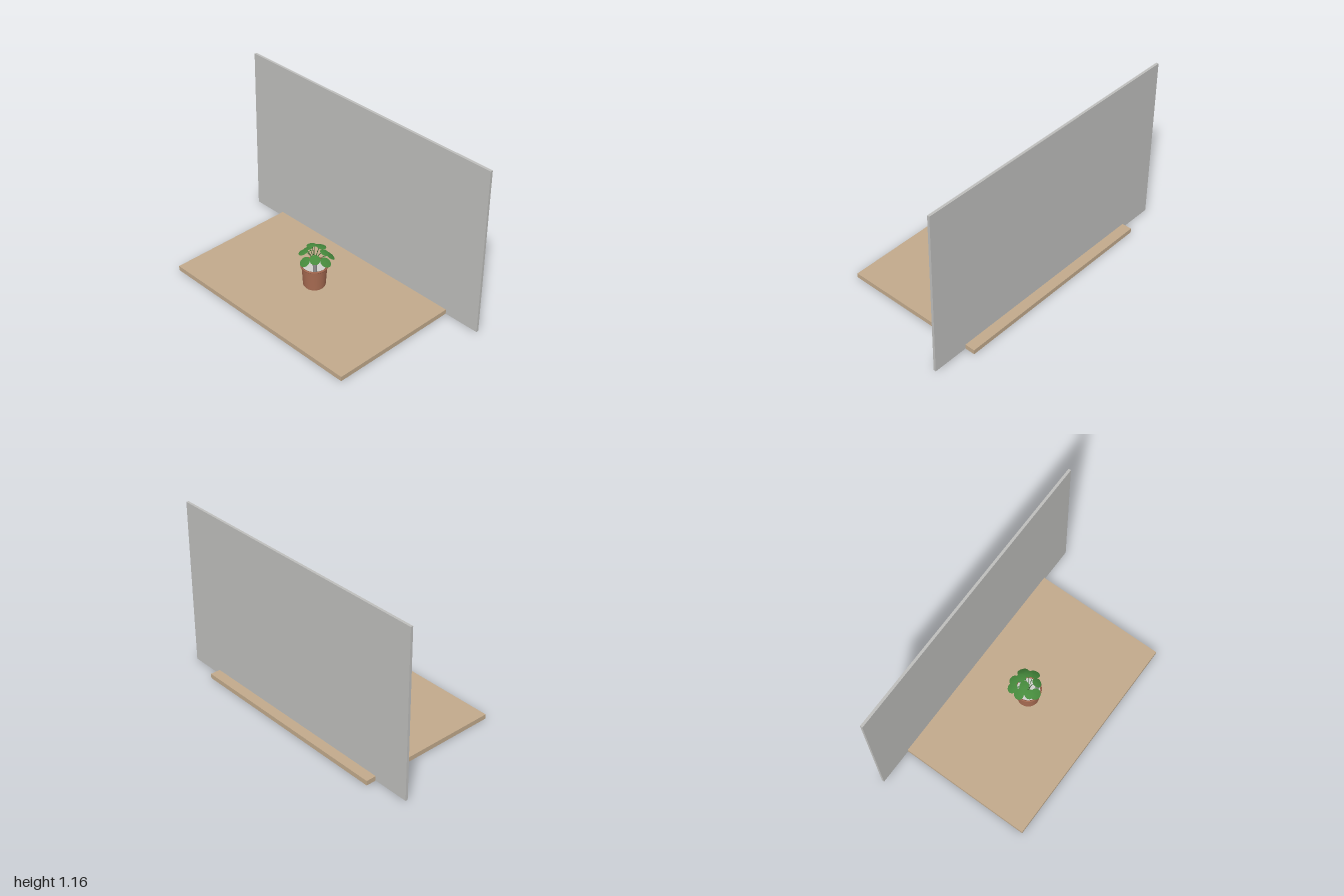
import * as THREE from 'three';

const mat = (name, color, side = THREE.FrontSide) => {
  const m = new THREE.MeshStandardMaterial({ color, side });
  m.name = name;
  return m;
};

export function createModel() {
  const group = new THREE.Group();
  const wood = mat('light wood', 0xc2aa8c);
  const wallGrey = mat('wall grey', 0xbebebc);
  const clay = mat('terracotta', 0xa96c52);
  const leafGreen = mat('leaf green', 0x468a3c, THREE.DoubleSide);
  const stemGreen = mat('stem green', 0x35602c);
  const soilGrey = mat('pale gravel', 0xd0d0cc);
  const postGrey = mat('post grey', 0x909090);

  const add = (name, geometry, material, x = 0, y = 0, z = 0, parent = group) => {
    const mesh = new THREE.Mesh(geometry, material);
    mesh.name = name;
    mesh.position.set(x, y, z);
    parent.add(mesh);
    return mesh;
  };

  // table board and back panel
  add('tableBoard', new THREE.BoxGeometry(1.5, 0.032, 1), wood, 0, 0.016, 0);
  add('backPanel', new THREE.BoxGeometry(2, 1.157, 0.017), wallGrey, 0, 0.5785, -0.4215);

  // pot: foot, tapered body and rim, each turned with crisp steps
  const lathe = (pts, segments = 32) =>
    new THREE.LatheGeometry(pts.map(([r, y]) => new THREE.Vector2(r, y)), segments);
  const pot = new THREE.Group();
  pot.name = 'pot';
  group.add(pot);
  add('potFoot', new THREE.CylinderGeometry(0.066, 0.064, 0.014, 32), clay, 0, 0.039, 0, pot);
  add('potBase', new THREE.CylinderGeometry(0.073, 0.073, 0.004, 32), clay, 0, 0.047, 0, pot);
  add('potBody', lathe([[0.073, 0.045], [0.079, 0.138], [0.083, 0.18]]), clay, 0, 0, 0, pot);
  const rim = [[0.081, 0.178], [0.087, 0.178], [0.088, 0.181], [0.088, 0.187], [0.086, 0.19], [0.079, 0.19], [0.077, 0.165]];
  add('potRim', lathe(rim), clay, 0, 0, 0, pot);
  const soil = add('soil', new THREE.CircleGeometry(0.079, 32), soilGrey, 0, 0.174, 0, pot);
  soil.rotation.x = -Math.PI / 2;

  // support post standing in the pot
  add('post', new THREE.CylinderGeometry(0.012, 0.012, 0.085, 20), postGrey, 0.045, 0.2065, 0.038);

  // leaves: centre x, y, z, radius and outward tilt
  const leaves = [
    [-0.035, 0.322, -0.005, 0.031, 0.2],
    [0.003, 0.303, -0.058, 0.032, 0.25],
    [-0.032, 0.282, -0.088, 0.034, 0.45],
    [-0.075, 0.264, -0.07, 0.036, 0.5],
    [0.056, 0.25, -0.083, 0.038, 0.65],
    [-0.08, 0.24, -0.018, 0.037, 0.7],
    [0.088, 0.245, -0.015, 0.037, 0.55],
    [-0.015, 0.238, 0.07, 0.037, 0.65],
    [-0.052, 0.285, 0.048, 0.032, 0.4],
    [0.045, 0.268, 0.038, 0.034, 0.6],
    [0.052, 0.292, -0.04, 0.031, 0.4],
    [-0.055, 0.29, 0.0, 0.03, 0.35],
  ];
  const plant = new THREE.Group();
  plant.name = 'plant';
  group.add(plant);
  const up = new THREE.Vector3(0, 1, 0);
  for (const [x, y, z, r, tilt] of leaves) {
    const out = new THREE.Vector3(x, 0, z).normalize();
    const normal = out.clone().multiplyScalar(Math.sin(tilt)).addScaledVector(up, Math.cos(tilt));
    const blade = lathe([[r, -0.003], [r * 0.65, 0], [0, 0.001]], 20);
    const leaf = add('leaf', blade, leafGreen, x, y, z, plant);
    leaf.quaternion.setFromUnitVectors(up, normal);
    // arched stalk from the soil to the underside of the leaf
    const curve = new THREE.QuadraticBezierCurve3(
      new THREE.Vector3(x * 0.1, 0.172, z * 0.1),
      new THREE.Vector3(x * 0.25, y + 0.005, z * 0.25),
      new THREE.Vector3(x, y - 0.001, z));
    add('stalk', new THREE.TubeGeometry(curve, 10, 0.002, 6), stemGreen, 0, 0, 0, plant);
  }
  return group;
}
